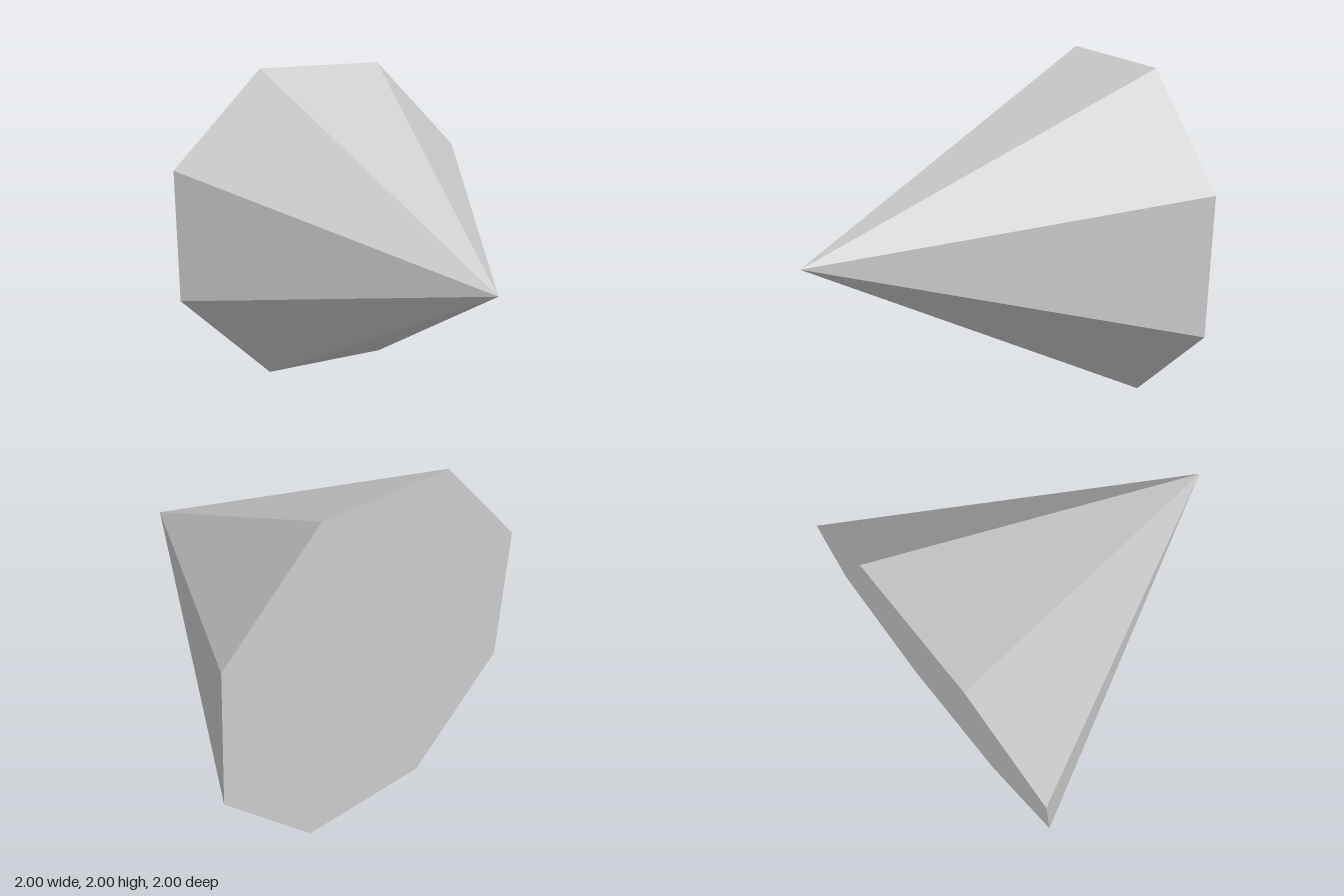
import * as THREE from 'three';

export function createModel() {
  const group = new THREE.Group();
  const grey = new THREE.MeshStandardMaterial({ color: 0xcccccc, flatShading: true });
  grey.name = 'light grey';

  // Eight-sided cone: flats 2 apart, tip towards the front, closed base at the back
  const sides = 8;
  const radius = 1 / Math.cos(Math.PI / sides);
  const geometry = new THREE.ConeGeometry(radius, 2, sides, 1, false, Math.PI / sides);
  geometry.rotateX(Math.PI / 2);

  const cone = new THREE.Mesh(geometry, grey);
  cone.name = 'octagonalCone';
  cone.position.y = 1;
  group.add(cone);
  return group;
}
